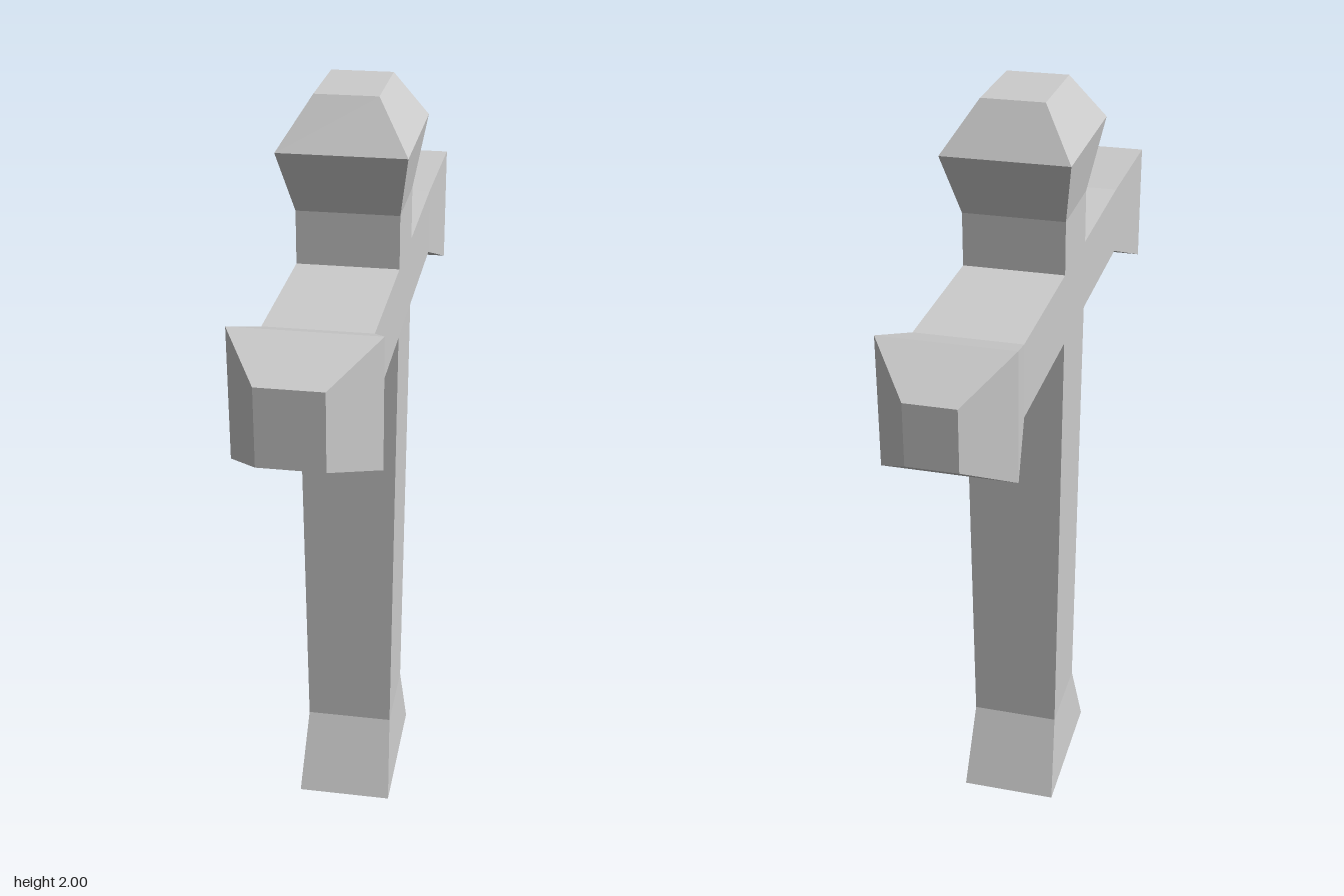
import * as THREE from 'three';

const material = new THREE.MeshStandardMaterial({ color: 0xcccccc, flatShading: true });

// Lofts rectangular sections [t, x0, x1, v0, v1], listed with rising t.
// axis 'y': t is height and v is z; axis 'z': t is depth and v is y.
function loft(name, axis, sections, capStart, capEnd) {
  const rings = sections.map(([t, x0, x1, v0, v1]) => axis === 'y'
    ? [[x0, t, v1], [x1, t, v1], [x1, t, v0], [x0, t, v0]]
    : [[x0, v0, t], [x1, v0, t], [x1, v1, t], [x0, v1, t]]);
  const positions = [];
  const quad = (a, b, c, d) => [a, b, c, a, c, d].forEach(p => positions.push(...p));
  for (let k = 0; k < rings.length - 1; k++) {
    for (let i = 0; i < 4; i++) {
      const j = (i + 1) % 4;
      quad(rings[k][i], rings[k][j], rings[k + 1][j], rings[k + 1][i]);
    }
  }
  if (capStart) quad(...[...rings[0]].reverse());
  if (capEnd) quad(...rings[rings.length - 1]);
  const geometry = new THREE.BufferGeometry();
  geometry.setAttribute('position', new THREE.Float32BufferAttribute(positions, 3));
  geometry.computeVertexNormals();
  const mesh = new THREE.Mesh(geometry, material);
  mesh.name = name;
  return mesh;
}

export function createModel() {
  const group = new THREE.Group();
  group.name = 'cross';

  // Upright: flared foot, slightly tapered shaft, bevelled head
  group.add(loft('upright', 'y', [
    [0, -0.13, 0.125, -0.21, 0.185],
    [0.215, -0.117, 0.115, -0.125, 0.1],
    [1.4, -0.13, 0.125, -0.125, 0.1],
    [1.715, -0.13, 0.125, -0.125, 0.1],
    [1.88, -0.16, 0.153, -0.21, 0.185],
    [2, -0.082, 0.073, -0.135, 0.103],
  ], true, true));

  // Arms: straight bars that flare and then bevel, open where they meet the upright
  group.add(loft('frontArm', 'z', [
    [0.1, -0.13, 0.125, 1.4, 1.58],
    [0.5, -0.13, 0.125, 1.4, 1.58],
    [0.663, -0.17, 0.17, 1.33, 1.645],
    [0.814, -0.08, 0.072, 1.395, 1.58],
  ], false, true));
  group.add(loft('backArm', 'z', [
    [-0.814, -0.065, 0.055, 1.41, 1.56],
    [-0.69, -0.16, 0.153, 1.33, 1.645],
    [-0.523, -0.13, 0.125, 1.4, 1.58],
    [-0.125, -0.13, 0.125, 1.4, 1.58],
  ], true, false));

  return group;
}
